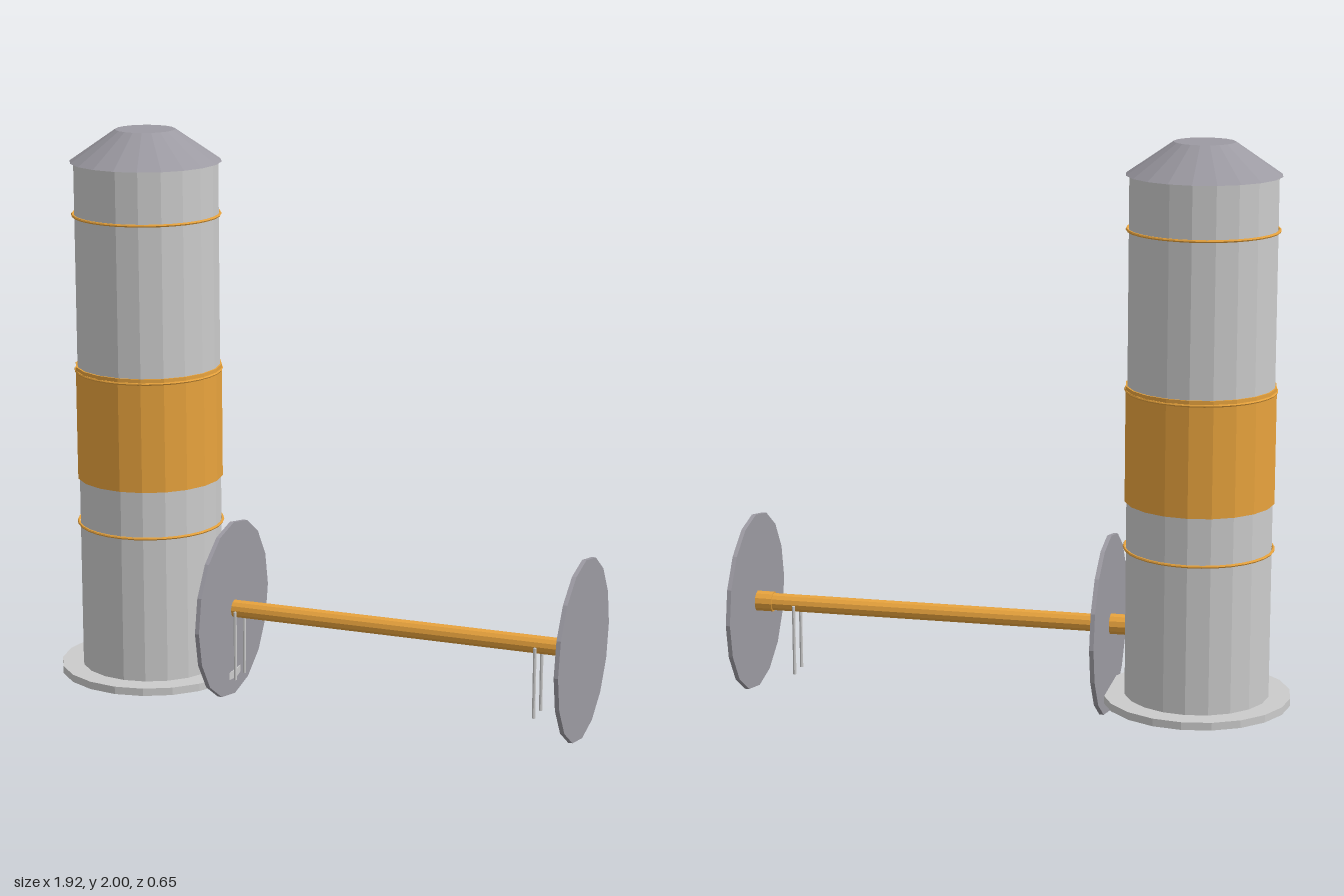
import * as THREE from 'three';

const TANK_X = -0.635; // axis of the tank
const AXLE_Y = 0.32;   // height of the pipe and disc centres

export function createModel() {
  const model = new THREE.Group();
  const material = (color) => new THREE.MeshStandardMaterial({ color, flatShading: true });
  const grey = material(0xcccccc);
  const steel = material(0x9c9aa2);
  const orange = material(0xe8a33d);

  const add = (name, geometry, mat, x, y, z = 0) => {
    const mesh = new THREE.Mesh(geometry, mat);
    mesh.name = name;
    mesh.position.set(x, y, z);
    model.add(mesh);
    return mesh;
  };

  // upright cylinder or cone on the tank axis, from y0 to y1
  const upright = (name, rTop, rBottom, y0, y1, mat) =>
    add(name, new THREE.CylinderGeometry(rTop, rBottom, y1 - y0, 20), mat, TANK_X, (y0 + y1) / 2);

  // cylinder lying along x, from x0 to x1
  const lying = (name, r, x0, x1, sides, mat) =>
    add(name, new THREE.CylinderGeometry(r, r, x1 - x0, sides).rotateZ(-Math.PI / 2), mat, (x0 + x1) / 2, AXLE_Y);

  // tank
  upright('basePlate', 0.325, 0.325, 0.068, 0.095, grey);
  upright('tankBody', 0.25, 0.25, 0.095, 1.89, grey);
  upright('colourBand', 0.256, 0.256, 0.78, 1.18, orange);
  upright('roofCone', 0.103, 0.262, 1.89, 2, steel);

  // hoops around the tank
  for (const y of [0.615, 1.163, 1.708]) {
    add('hoop', new THREE.TorusGeometry(0.254, 0.005, 6, 32).rotateX(Math.PI / 2), orange, TANK_X, y);
  }

  // pipe with a thicker sleeve at each end
  lying('pipe', 0.031, -0.385, 0.947, 12, orange);
  lying('innerSleeve', 0.036, -0.39, -0.326, 12, orange);
  lying('outerSleeve', 0.036, 0.882, 0.947, 12, orange);

  // flange discs
  lying('innerDisc', 0.315, -0.333, -0.318, 16, steel);
  lying('outerDisc', 0.315, 0.942, 0.957, 16, steel);

  // pairs of thin legs straddling the pipe
  for (const x of [-0.298, 0.797]) {
    for (const z of [-0.042, 0.042]) {
      add('pipeLeg', new THREE.CylinderGeometry(0.006, 0.006, 0.25, 8), grey, x, 0.195, z);
    }
  }

  return model;
}
